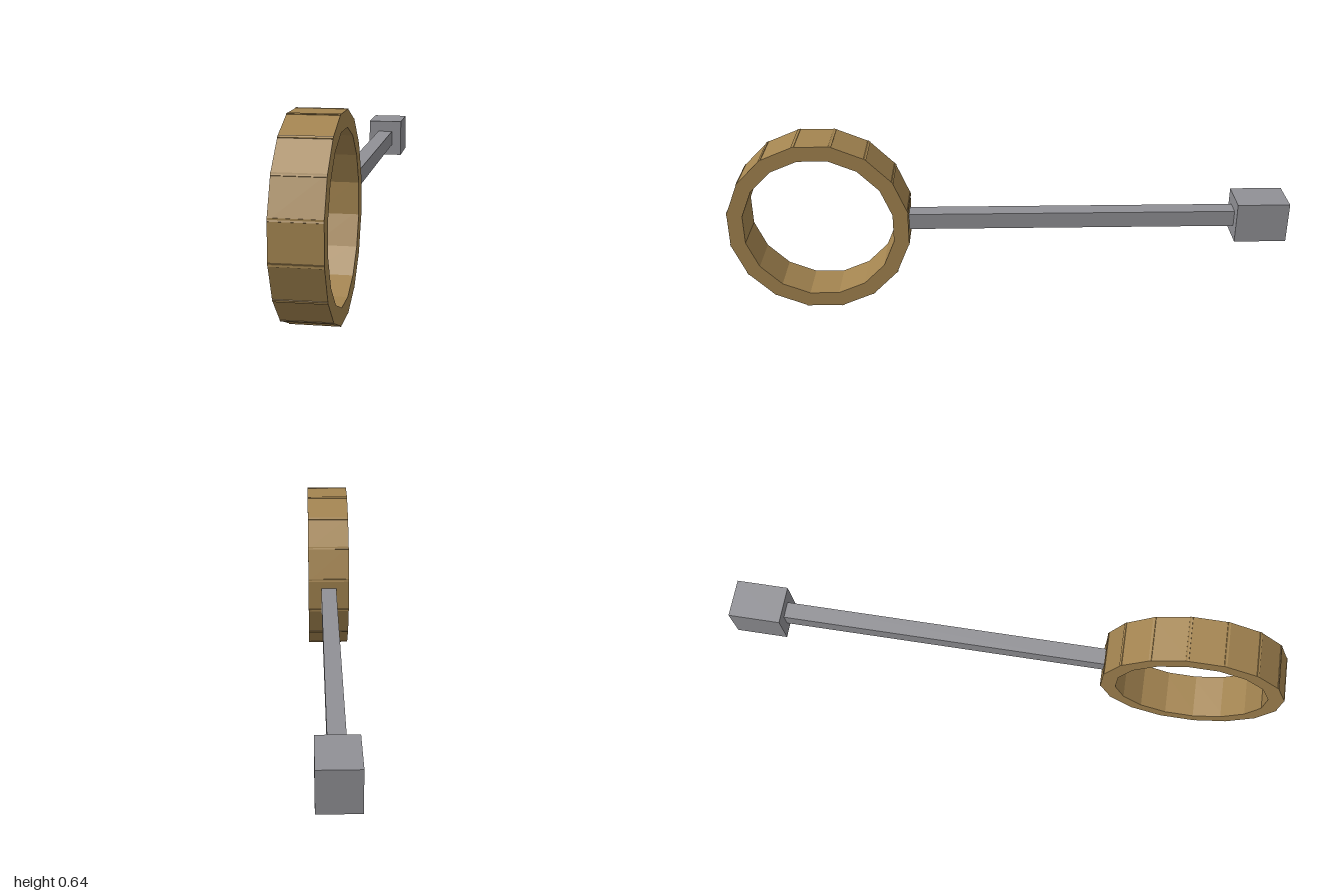
import * as THREE from 'three';

export function createModel() {
  const model = new THREE.Group();
  const brass = new THREE.MeshStandardMaterial({ color: 0xa38450 });
  brass.name = 'brass';
  const steel = new THREE.MeshStandardMaterial({ color: 0x909095 });
  steel.name = 'steel';

  const centreY = 0.321;
  const block = (name, material, w, h, d, z) => {
    const mesh = new THREE.Mesh(new THREE.BoxGeometry(w, h, d), material);
    mesh.name = name;
    mesh.position.set(0, centreY, z);
    return mesh;
  };

  // Ring of sixteen slightly overlapping flat blocks
  const ring = new THREE.Group();
  ring.name = 'ring';
  const sides = 16, outer = 0.319, thickness = 0.054, ringZ = 0.679;
  const radius = outer - thickness / 2;
  for (let i = 0; i < sides; i++) {
    const a = (i / sides) * Math.PI * 2;
    const segment = block('ringSegment', brass, 0.159, 0.137, thickness, ringZ + radius * Math.cos(a));
    segment.position.y += radius * Math.sin(a);
    segment.rotation.x = -a;
    ring.add(segment);
  }
  model.add(ring);

  // Square shaft from the ring to the head
  const shaftFront = 0.37, shaftBack = -0.83;
  model.add(block('shaft', steel, 0.059, 0.059, shaftFront - shaftBack, (shaftFront + shaftBack) / 2));

  // Block head at the back end
  model.add(block('head', steel, 0.137, 0.147, 0.186, -0.907));

  return model;
}
